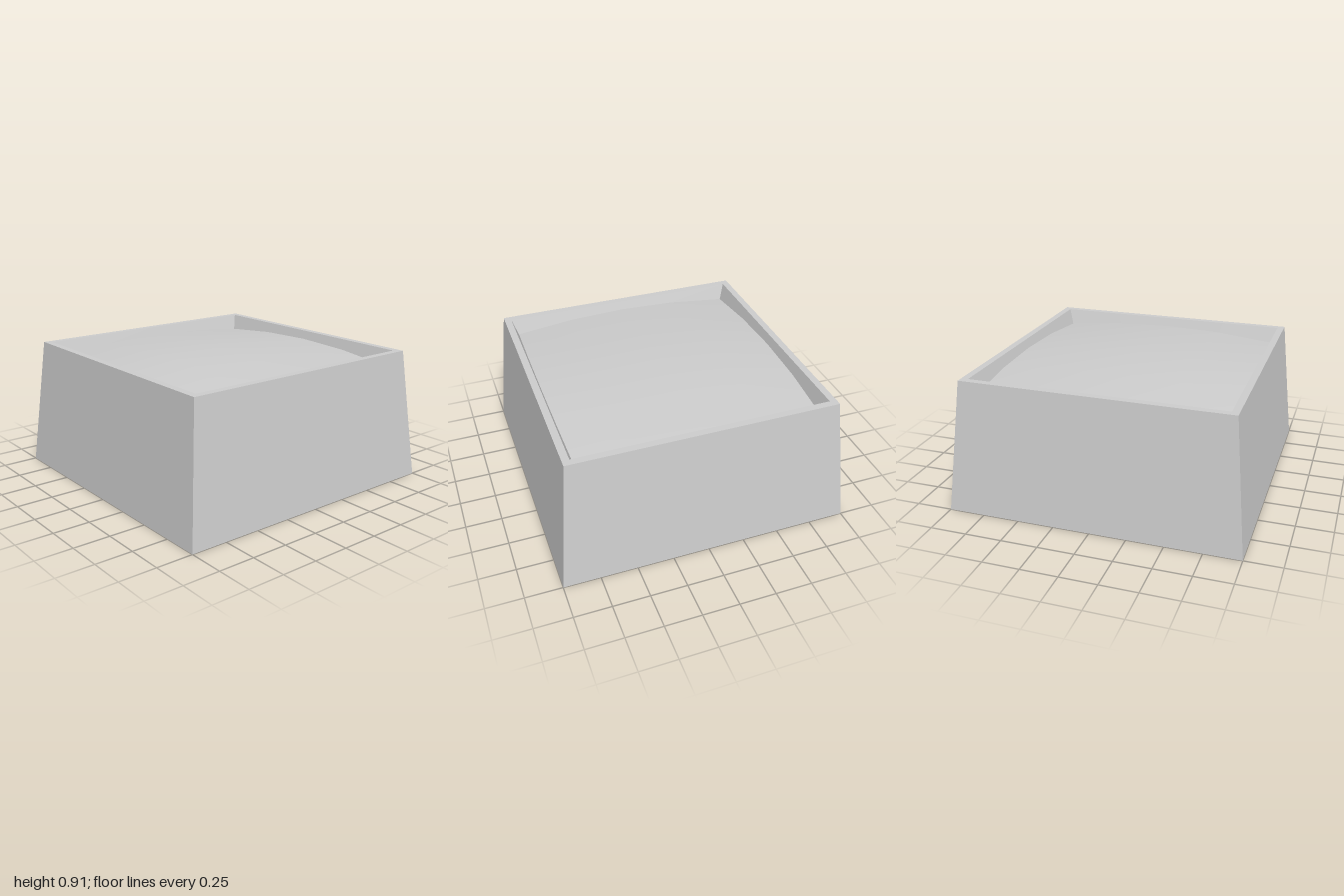
import * as THREE from 'three';

const SEG = 4; // divisions along each side

// Point on the domed panel for u, v in -1..1
const domePoint = (u, v) => [
  u * (0.841 - 0.0175 * v * v),
  0.9 - 0.05 * (u * u + v * v),
  v * (0.841 - 0.0175 * u * u),
];

// Square loop of [u, v] pairs, counter-clockwise seen from above
function squareLoop() {
  const loop = [];
  for (let side = 0; side < 4; side++) {
    for (let i = 0; i < SEG; i++) {
      let u = -1 + (2 * i) / SEG, v = 1;
      for (let r = 0; r < side; r++) [u, v] = [v, -u];
      loop.push([u, v]);
    }
  }
  return loop;
}

// Tapered block: underside, sloping sides, rim and recess walls
function createBody() {
  const loop = squareLoop();
  const square = (half, y) => loop.map(([u, v]) => [u * half, y, v * half]);
  const rings = [
    square(0, 0),
    square(1, 0),
    square(0.91, 0.91),
    square(0.862, 0.91),
    loop.map(([u, v]) => domePoint(u, v)),
  ];
  const index = [];
  const n = loop.length;
  for (let r = 0; r < rings.length - 1; r++) {
    for (let i = 0; i < n; i++) {
      const j = (i + 1) % n;
      const a = r * n + i, b = r * n + j, c = b + n, d = a + n;
      if (r > 0) index.push(a, b, c);
      index.push(a, c, d);
    }
  }
  const indexed = new THREE.BufferGeometry();
  indexed.setAttribute('position', new THREE.Float32BufferAttribute(rings.flat(2), 3));
  indexed.setIndex(index);
  const geometry = indexed.toNonIndexed();
  geometry.computeVertexNormals();
  return geometry;
}

// Gently bulging panel set inside the rim
function createDome() {
  const geometry = new THREE.PlaneGeometry(2, 2, SEG, SEG).rotateX(-Math.PI / 2);
  const p = geometry.attributes.position;
  for (let i = 0; i < p.count; i++) p.setXYZ(i, ...domePoint(p.getX(i), p.getZ(i)));
  geometry.computeVertexNormals();
  return geometry;
}

export function createModel() {
  const group = new THREE.Group();
  group.name = 'taperedBlock';

  const body = new THREE.Mesh(
    createBody(),
    new THREE.MeshStandardMaterial({ color: 0xcccccc, flatShading: true }),
  );
  body.name = 'body';

  const dome = new THREE.Mesh(
    createDome(),
    new THREE.MeshStandardMaterial({ color: 0xcccccc }),
  );
  dome.name = 'domedPanel';

  group.add(body, dome);
  return group;
}
